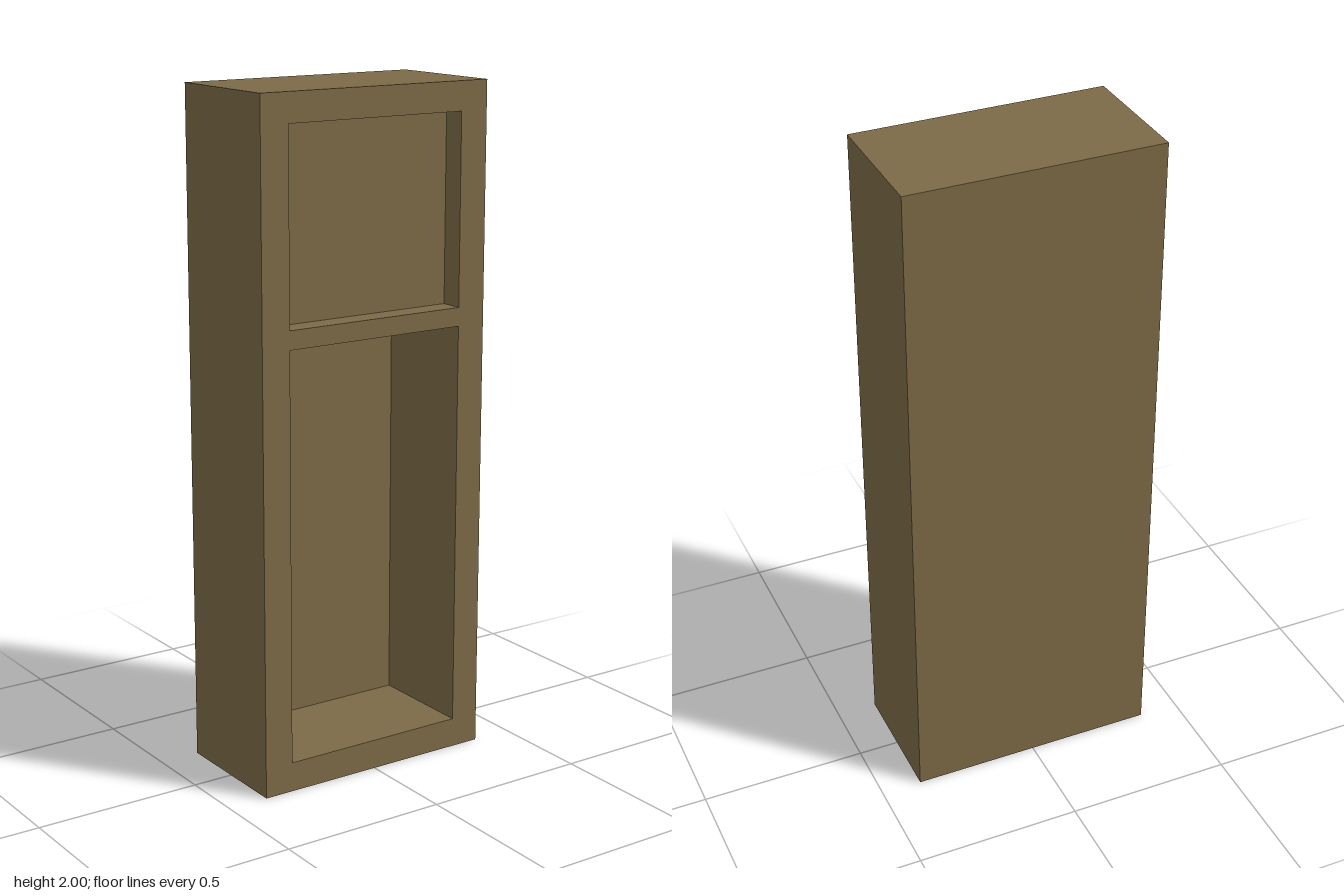
import * as THREE from 'three';

const W = 0.756, H = 2, D = 0.39;
const OPEN_W = 0.578;

// Box without its front (+z) face; inward turns the faces to look inside
function openBox(w, h, d, inward) {
  const g = new THREE.BoxGeometry(w, h, d);
  const index = Array.from(g.index.array);
  index.splice(24, 6);
  if (inward) {
    index.reverse();
    g.attributes.normal.array.forEach((n, i, a) => { a[i] = -n; });
  }
  g.setIndex(index);
  g.clearGroups();
  return g;
}

function rect(path, x0, y0, x1, y1) {
  path.moveTo(x0, y0);
  path.lineTo(x1, y0);
  path.lineTo(x1, y1);
  path.lineTo(x0, y1);
  path.closePath();
  return path;
}

export function createModel() {
  const model = new THREE.Group();
  model.name = 'cabinet';
  const wood = new THREE.MeshStandardMaterial({ color: 0x7d6a47 });
  wood.name = 'brown wood';

  const add = (name, geometry, y, z) => {
    const mesh = new THREE.Mesh(geometry, wood);
    mesh.name = name;
    mesh.position.set(0, y, z);
    model.add(mesh);
  };

  const recesses = [
    { name: 'lowerCompartment', bottom: 0.088, top: 1.3, depth: 0.33 },
    { name: 'upperRecess', bottom: 1.355, top: 1.915, depth: 0.07 },
  ];

  // Outer sides, top, bottom and back
  add('cabinetShell', openBox(W, H, D, false), H / 2, 0);

  // Front face with both openings
  const front = rect(new THREE.Shape(), -W / 2, 0, W / 2, H);
  for (const r of recesses) {
    front.holes.push(rect(new THREE.Path(), -OPEN_W / 2, r.bottom, OPEN_W / 2, r.top));
  }
  add('frontFrame', new THREE.ShapeGeometry(front), 0, D / 2);

  // Inner walls of the deep lower and shallow upper openings
  for (const r of recesses) {
    add(r.name, openBox(OPEN_W, r.top - r.bottom, r.depth, true),
      (r.top + r.bottom) / 2, D / 2 - r.depth / 2);
  }

  return model;
}
